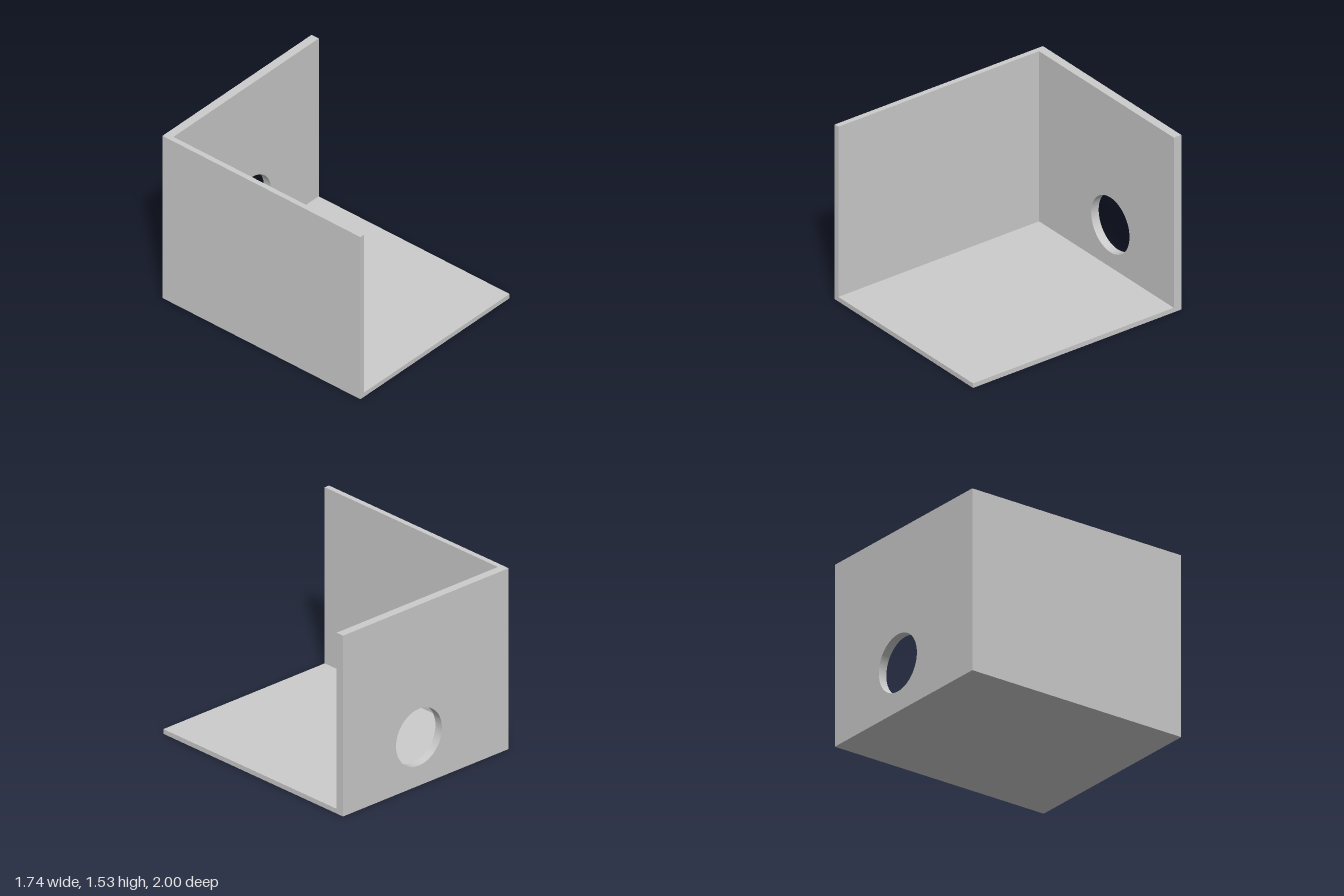
import * as THREE from 'three';

const W = 1.735, H = 1.53, D = 2;            // overall size
const SIDE = 0.045, BACK = 0.072, FLOOR = 0.04; // panel thicknesses

export function createModel() {
  const group = new THREE.Group();
  const material = new THREE.MeshStandardMaterial({ color: 0xcccccc });

  const add = (name, geometry, x, y, z) => {
    const mesh = new THREE.Mesh(geometry, material);
    mesh.name = name;
    mesh.position.set(x, y, z);
    group.add(mesh);
  };

  // Back wall with a round opening, full width and height
  const wall = new THREE.Shape();
  wall.moveTo(-W / 2, 0).lineTo(W / 2, 0).lineTo(W / 2, H).lineTo(-W / 2, H).closePath();
  const opening = new THREE.Path();
  opening.absarc(0.072, 0.41, 0.24, 0, Math.PI * 2, true);
  wall.holes.push(opening);
  add('backWall', new THREE.ExtrudeGeometry(wall, { depth: BACK, bevelEnabled: false, curveSegments: 48 }), 0, 0, -D / 2);

  // Side wall, in front of the back wall
  const depth = D - BACK, z = BACK / 2;
  add('sideWall', new THREE.BoxGeometry(SIDE, H, depth), -W / 2 + SIDE / 2, H / 2, z);

  // Floor, filling the space beside the side wall
  add('floor', new THREE.BoxGeometry(W - SIDE, FLOOR, depth), SIDE / 2, FLOOR / 2, z);

  return group;
}
